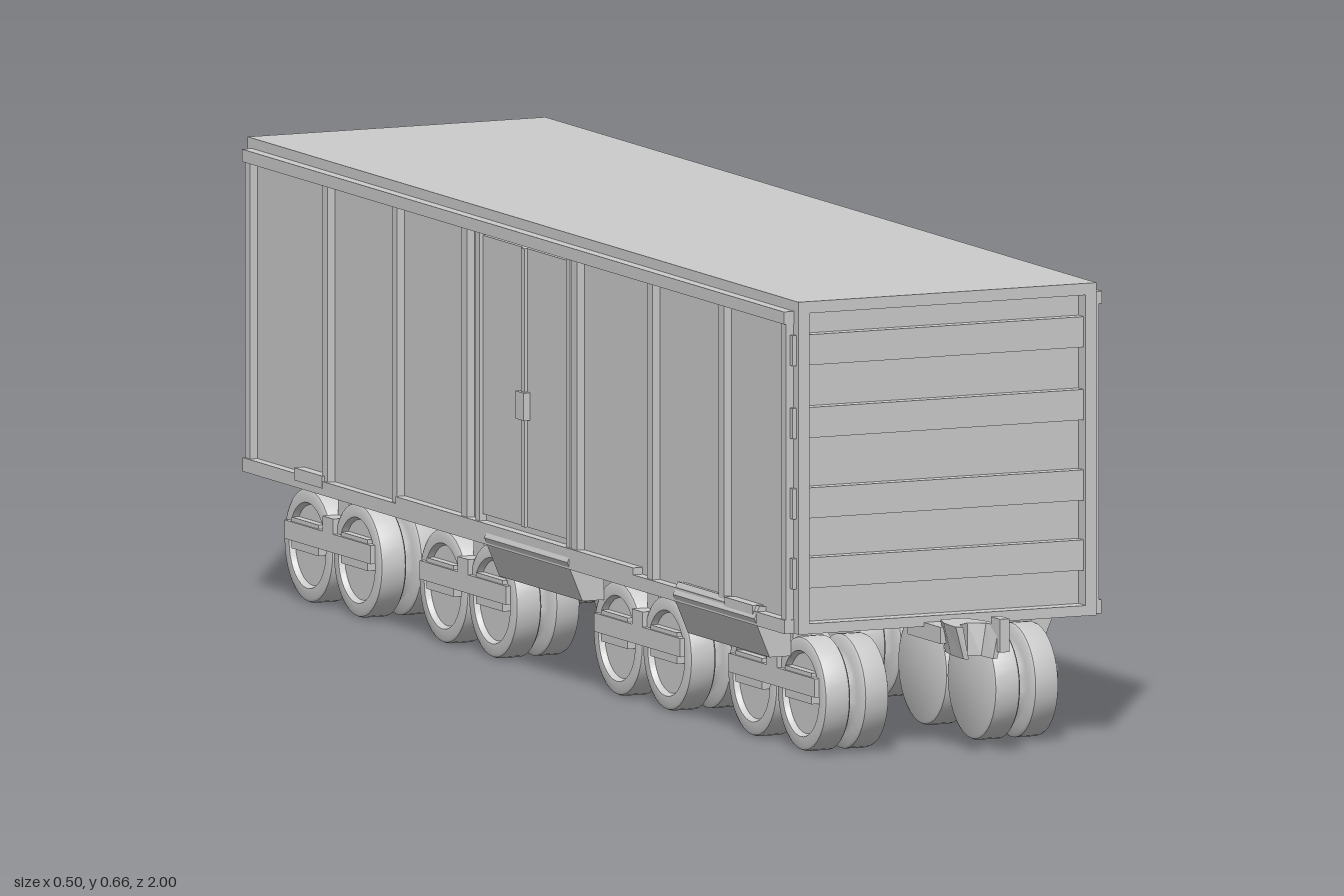
import * as THREE from 'three';
import { toCreasedNormals } from 'three/addons/utils/BufferGeometryUtils.js';

const grey = new THREE.MeshStandardMaterial({ color: 0xcccccc });

function add(parent, name, geometry) {
  const mesh = new THREE.Mesh(geometry, grey);
  mesh.name = name;
  parent.add(mesh);
  return mesh;
}

// Box given by its limits on each axis
function box(parent, name, x0, x1, y0, y1, z0, z1) {
  const g = new THREE.BoxGeometry(Math.abs(x1 - x0), y1 - y0, z1 - z0);
  g.translate((x0 + x1) / 2, (y0 + y1) / 2, (z0 + z1) / 2);
  return add(parent, name, g);
}

const shapeOf = pts => new THREE.Shape(pts.map(p => new THREE.Vector2(...p)));

// Extrude an x-y outline between two z positions
function prism(parent, name, shape, z0, z1) {
  const g = new THREE.ExtrudeGeometry(shape, { depth: z1 - z0, bevelEnabled: false });
  return add(parent, name, g.translate(0, 0, z0));
}

const rect = (w, y0, y1) => [[-w, y0], [w, y0], [w, y1], [-w, y1]];

function createEnds(parent) {
  for (const [end, z, dir] of [['front', 0.855, -1], ['rear', -1, 1]]) {
    const group = new THREE.Group();
    group.name = end + 'End';
    parent.add(group);
    const inner = z + dir * 0.025;
    const frame = shapeOf(rect(0.235, 0.18, 0.66));
    frame.holes.push(new THREE.Path(shapeOf(rect(0.218, 0.195, 0.643)).getPoints()));
    prism(group, 'endFrame', frame, Math.min(z, inner), Math.max(z, inner));
    // Horizontal ribs, whose ends show on one side of the car
    const a = z + dir * 0.007, b = z + dir * 0.03;
    for (const y of [0.589, 0.484, 0.368, 0.267])
      box(group, 'endRib', -0.241, 0.23, y - 0.022, y + 0.022, Math.min(a, b), Math.max(a, b));
  }
}

function createSide(parent, s) {
  const side = new THREE.Group();
  side.name = s > 0 ? 'leftSide' : 'rightSide';
  parent.add(side);
  const slab = (name, out, y0, y1, z0, z1) =>
    box(side, name, s * 0.225, s * out, y0, y1, z0, z1);
  slab('topRail', 0.251, 0.627, 0.645, -0.985, 0.84);
  slab('bottomRail', 0.25, 0.18, 0.2, -0.985, 0.84);
  slab('middleSill', 0.25, 0.18, 0.21, -0.47, 0.33);
  slab('sillTab', 0.251, 0.19, 0.208, 0.64, 0.735);
  slab('sillTab', 0.251, 0.19, 0.208, -0.81, -0.715);
  for (const z of [0.83, 0.62, 0.38, 0.125, -0.245, -0.48, -0.715, -0.975])
    slab('wallPost', 0.247, 0.2, 0.627, z - 0.009, z + 0.009);
  // Double door with centre strip and latch
  for (const [z0, z1] of [[-0.195, -0.053], [-0.047, 0.095]])
    slab('doorLeaf', 0.241, 0.22, 0.622, z0, z1);
  for (const z of [-0.202, 0.102])
    slab('doorJamb', 0.246, 0.2, 0.627, z - 0.007, z + 0.007);
  slab('doorStrip', 0.246, 0.22, 0.622, -0.056, -0.044);
  slab('doorLatch', 0.251, 0.375, 0.415, -0.064, -0.036);
}

// Double-rimmed wheel with a waisted groove, axis along x
function wheelGeometry() {
  const pts = [[0, -0.051], [0.077, -0.051], [0.081, -0.049], [0.0825, -0.045], [0.0825, -0.013],
    [0.079, -0.01], [0.063, -0.009], [0.054, -0.006], [0.048, 0], [0.054, 0.006], [0.063, 0.009],
    [0.079, 0.01], [0.0825, 0.013], [0.0825, 0.045], [0.081, 0.049], [0.077, 0.051],
    [0.062, 0.051], [0.058, 0.043], [0, 0.043]];
  const g = new THREE.LatheGeometry(pts.map(p => new THREE.Vector2(...p)), 36);
  return toCreasedNormals(g, 0.7).rotateZ(-Math.PI / 2);
}

function createBogie(parent, z, wheelGeo) {
  const bogie = new THREE.Group();
  bogie.name = 'bogie';
  bogie.position.z = z;
  parent.add(bogie);
  for (const [s, x] of [[1, 0.125], [-1, -0.143]]) {
    for (const dz of [-0.083, 0.083]) {
      const wheel = add(bogie, 'wheel', wheelGeo);
      wheel.position.set(x, 0.0825, dz);
      if (s < 0) wheel.rotation.y = Math.PI;
      box(bogie, 'axleBox', x + s * 0.04, x + s * 0.055, 0.073, 0.118, dz - 0.045, dz + 0.045);
    }
    // Side frame bar hung from the floor by a stepped bracket
    box(bogie, 'sideFrame', x + s * 0.046, x + s * 0.058, 0.085, 0.112, -0.145, 0.145);
    box(bogie, 'bracketPost', x + s * 0.003, x + s * 0.033, 0.1, 0.185, -0.018, 0.018);
    box(bogie, 'bracketArm', x + s * 0.03, x + s * 0.058, 0.095, 0.134, -0.018, 0.018);
  }
}

function createCoupler(parent) {
  const coupler = new THREE.Group();
  coupler.name = 'coupler';
  parent.add(coupler);
  box(coupler, 'drawbar', -0.037, 0.013, 0.162, 0.186, 0.8, 0.91);
  // Plan outline of the open claw, thinner towards the bar
  const claw = shapeOf([[-0.03, 0.895], [0.008, 0.895], [0.022, 0.93], [0.028, 0.99], [0.018, 0.99],
    [0.014, 0.955], [-0.01, 0.943], [-0.027, 0.955], [-0.034, 0.98], [-0.043, 0.975], [-0.041, 0.93]]);
  const g = new THREE.ExtrudeGeometry(claw, { depth: 0.047, bevelEnabled: false });
  g.rotateX(Math.PI / 2);
  const p = g.attributes.position;
  for (let i = 0; i < p.count; i++)
    if (p.getY(i) < -0.02) p.setX(i, -0.008 + (p.getX(i) + 0.008) * 0.65);
  g.computeVertexNormals();
  add(coupler, 'clawHead', g).position.y = 0.195;
  box(coupler, 'knuckle', 0.015, 0.03, 0.158, 0.206, 0.97, 1);
}

export function createModel() {
  const model = new THREE.Group();
  model.name = 'boxcar';

  box(model, 'body', -0.235, 0.235, 0.18, 0.66, -0.976, 0.831);
  createEnds(model);
  createSide(model, 1);
  createSide(model, -1);

  // Bevelled equipment troughs under each side
  const left = shapeOf([[0.183, 0.133], [0.204, 0.133], [0.226, 0.185], [0.183, 0.185]]);
  const right = shapeOf([[-0.195, 0.133], [-0.195, 0.2], [-0.245, 0.208], [-0.253, 0.19], [-0.229, 0.133]]);
  for (const [z0, z1] of [[0.47, 0.745], [-0.165, 0.115]]) {
    prism(model, 'leftTrough', left, z0, z1);
    prism(model, 'rightTrough', right, z0, z1);
  }

  const wheelGeo = wheelGeometry();
  for (const z of [0.692, 0.239, -0.348, -0.803]) createBogie(model, z, wheelGeo);
  createCoupler(model);
  return model;
}
